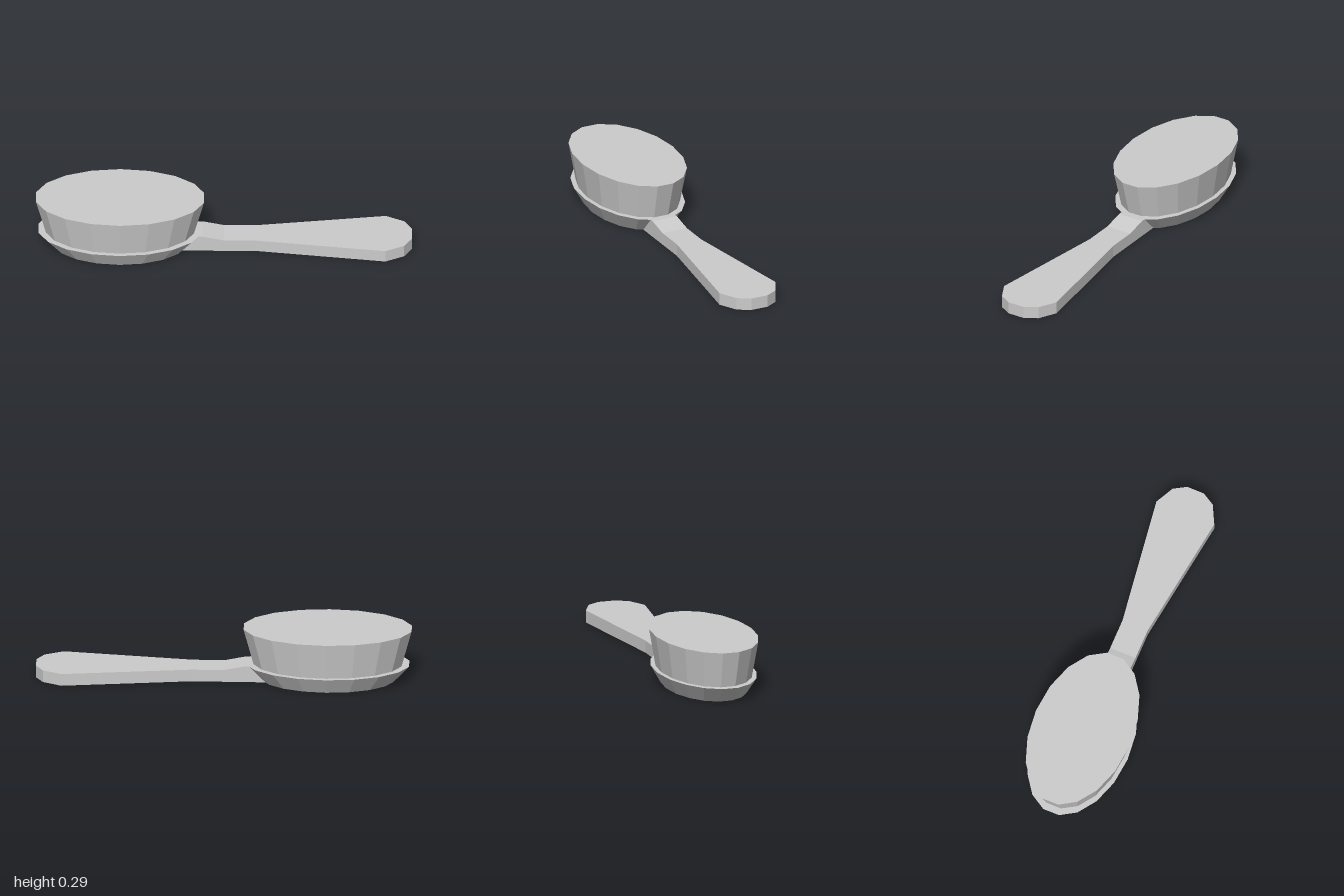
import * as THREE from 'three';

const material = () => new THREE.MeshStandardMaterial({ color: 0xcccccc, flatShading: true });

// Oval tapered block, 18 sides
function ovalBlock(name, topX, bottomX, y0, y1) {
  const geo = new THREE.CylinderGeometry(topX, bottomX, y1 - y0, 18);
  geo.scale(1, 1, 0.592);
  geo.translate(-0.553, (y0 + y1) / 2, 0);
  const mesh = new THREE.Mesh(geo, material());
  mesh.name = name;
  return mesh;
}

// Handle lofted through rectangular sections: [bottom x, top x, top y, half width]
function handleGeometry() {
  const stations = [
    [-0.235, -0.14, 0.09, 0.073],
    [-0.115, -0.115, 0.09, 0.073],
    [0, 0, 0.0665, 0.073],
    [0.17, 0.17, 0.0665, 0.073],
    [0.86, 0.86, 0.0665, 0.167],
    [0.96, 0.96, 0.0665, 0.116],
    [1, 1, 0.0665, 0.048],
  ];
  const pos = [];
  const index = [];
  for (const [xb, xt, y, w] of stations) {
    pos.push(xb, 0, w, xb, 0, -w, xt, y, -w, xt, y, w);
  }
  const quad = (a, b, c, d) => index.push(a, b, c, a, c, d);
  const last = (stations.length - 1) * 4;
  for (let s = 0; s < last; s += 4) {
    for (let k = 0; k < 4; k++) {
      const n = (k + 1) % 4;
      quad(s + k, s + n, s + 4 + n, s + 4 + k);
    }
  }
  // End caps
  quad(0, 3, 2, 1);
  quad(last, last + 1, last + 2, last + 3);
  const indexed = new THREE.BufferGeometry();
  indexed.setAttribute('position', new THREE.Float32BufferAttribute(pos, 3));
  indexed.setIndex(index);
  const geo = indexed.toNonIndexed();
  geo.computeVertexNormals();
  return geo;
}

export function createModel() {
  const group = new THREE.Group();
  group.name = 'brush';

  // Flared oval back and the bristle block standing on it
  group.add(ovalBlock('headBase', 0.44, 0.357, 0, 0.09));
  group.add(ovalBlock('bristles', 0.454, 0.4, 0.09, 0.29));

  // Flat handle widening to a rounded end
  const handle = new THREE.Mesh(handleGeometry(), material());
  handle.name = 'handle';
  group.add(handle);
  return group;
}
